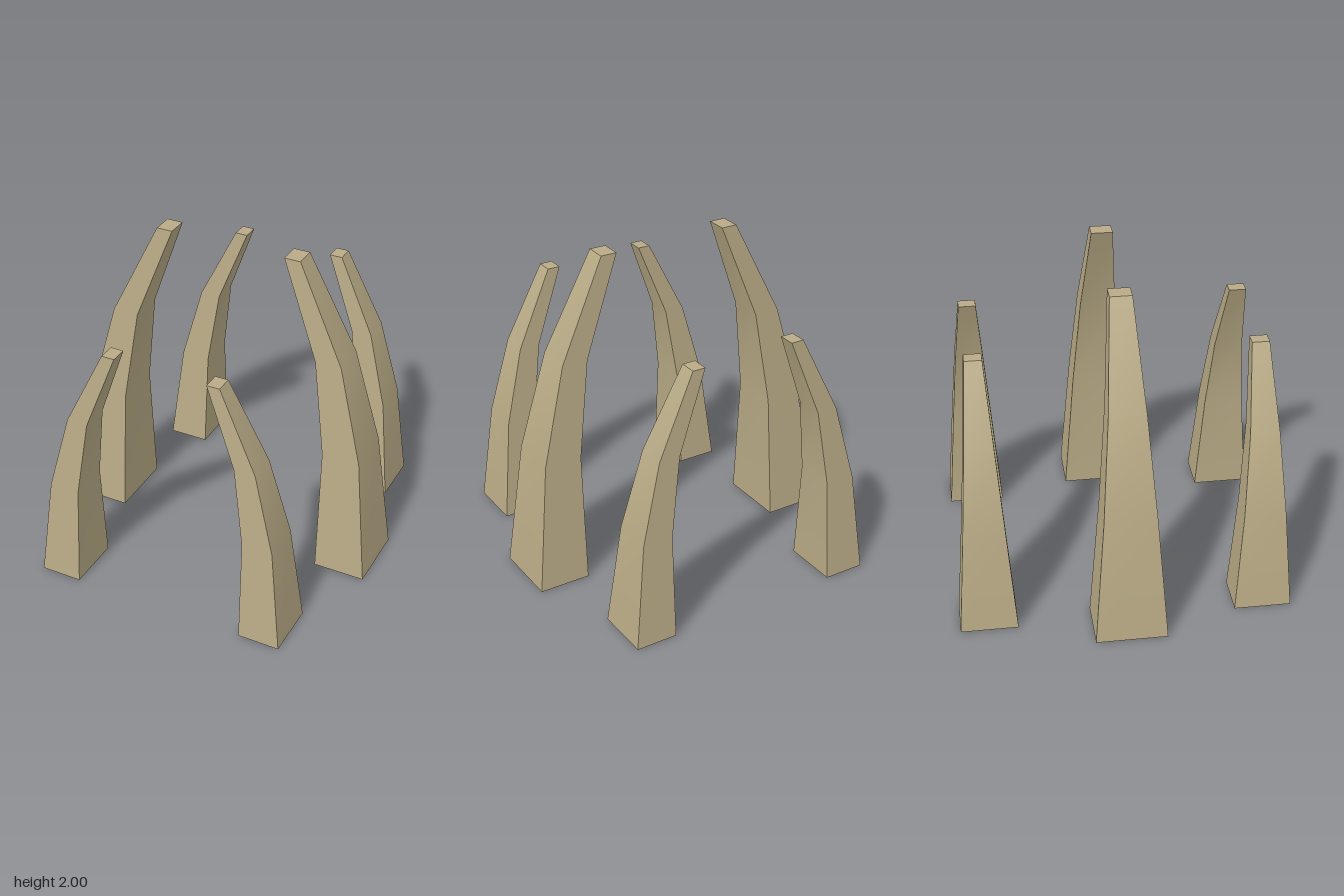
import * as THREE from 'three';

// cross-sections from foot to tip: height, outer x, inner x, half depth
const SECTIONS = [
  [0, 1.0, 0.68, 0.215],
  [0.8, 0.91, 0.675, 0.155],
  [1.4, 0.753, 0.59, 0.11],
  [2.0, 0.46, 0.36, 0.065],
];

// a box bent along the sections; side is +1 (left) or -1 (right)
function ribGeometry(side, scale) {
  const geometry = new THREE.BoxGeometry(1, 1, 1, 1, SECTIONS.length - 1, 1);
  const p = geometry.attributes.position;
  for (let i = 0; i < p.count; i++) {
    const level = Math.round((p.getY(i) + 0.5) * (SECTIONS.length - 1));
    const [y, outer, inner, depth] = SECTIONS[level];
    const x = side * (p.getX(i) * side > 0 ? outer : inner);
    p.setXYZ(i, x * scale, y * scale, Math.sign(p.getZ(i)) * depth * scale);
  }
  // smooth along each side, sharp at the corners
  geometry.computeVertexNormals();
  return geometry;
}

export function createModel() {
  const group = new THREE.Group();
  group.name = 'ribs';
  const bone = new THREE.MeshStandardMaterial({ color: 0xb9ab86 });
  bone.name = 'bone';

  // one tall pair in the middle, shorter pairs in front and behind
  const pairs = [
    ['front', 0.828, 0.8],
    ['middle', 0, 1],
    ['back', -0.828, 0.8],
  ];
  for (const [name, z, scale] of pairs) {
    for (const side of [1, -1]) {
      const rib = new THREE.Mesh(ribGeometry(side, scale), bone);
      rib.name = name + (side > 0 ? 'LeftRib' : 'RightRib');
      rib.position.z = z;
      group.add(rib);
    }
  }
  return group;
}
